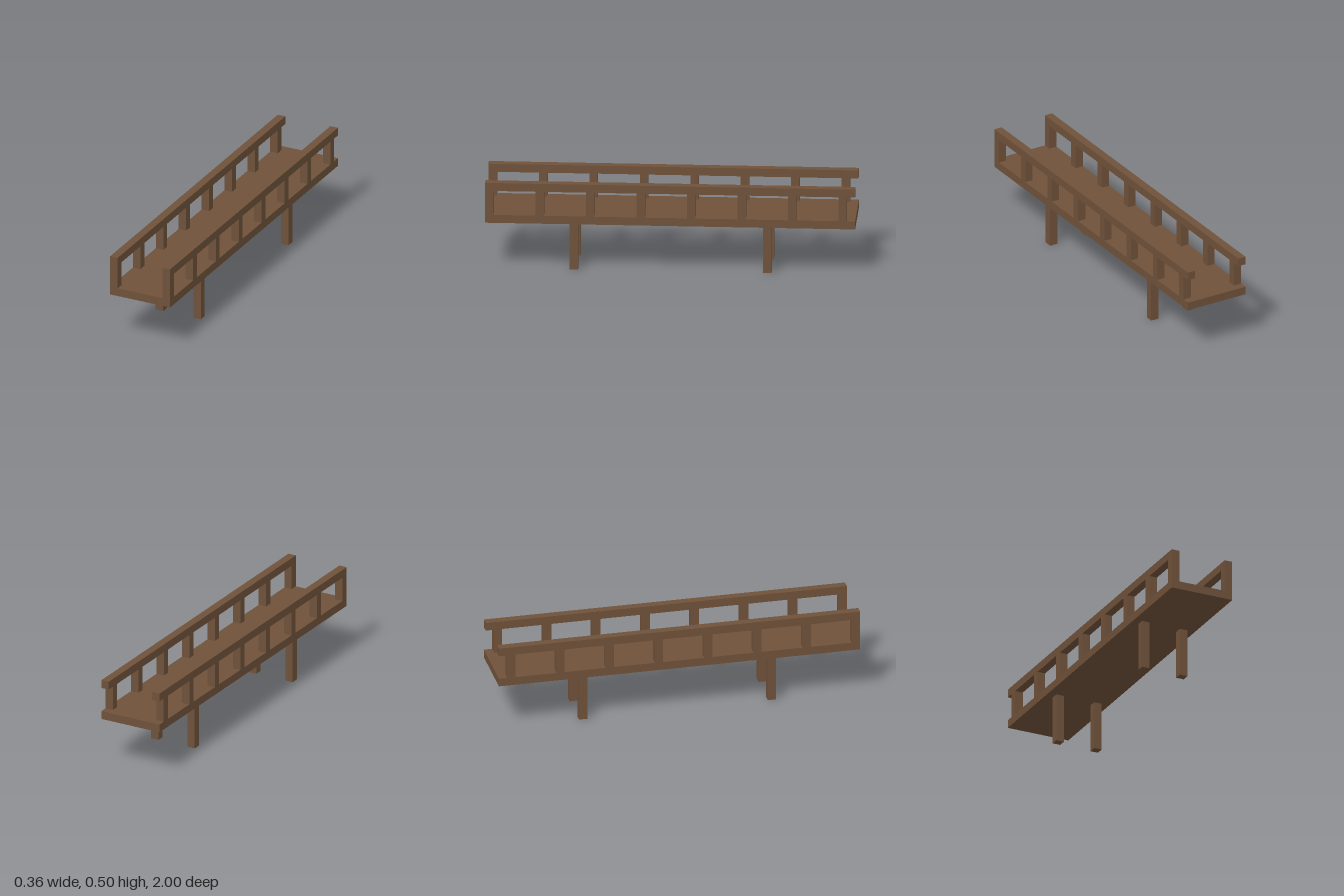
import * as THREE from 'three';

export function createModel() {
  const u = 1 / 22; // beam thickness, the module of the whole bridge
  const wood = new THREE.MeshStandardMaterial({ color: 0x6f523a });
  wood.name = 'brown wood';
  const bridge = new THREE.Group();
  bridge.name = 'footbridge';

  // Box with sizes and centre given in beam thicknesses
  function beam(name, w, h, d, x, y, z, parent) {
    const mesh = new THREE.Mesh(new THREE.BoxGeometry(w * u, h * u, d * u), wood);
    mesh.name = name;
    mesh.position.set(x * u, y * u, z * u);
    parent.add(mesh);
  }

  // Walkway
  beam('deck', 8, 1, 44, 0, 6.5, 0, bridge);

  for (const side of [1, -1]) {
    const label = side > 0 ? 'left' : 'right';

    // Railing: posts start flush with the front end and stop short of the back
    const railing = new THREE.Group();
    railing.name = label + 'Railing';
    beam('handrail', 1, 1, 44, side * 3.5, 10.5, 0, railing);
    for (let i = 0; i < 8; i++) {
      beam('railingPost', 1, 3, 1, side * 3.5, 8.5, 21.5 - i * 6, railing);
    }
    bridge.add(railing);

    // Legs under the deck
    beam(label + 'FrontLeg', 1, 6, 1, side * 2.5, 3, 11.5, bridge);
    beam(label + 'BackLeg', 1, 6, 1, side * 2.5, 3, -11.5, bridge);
  }
  return bridge;
}
